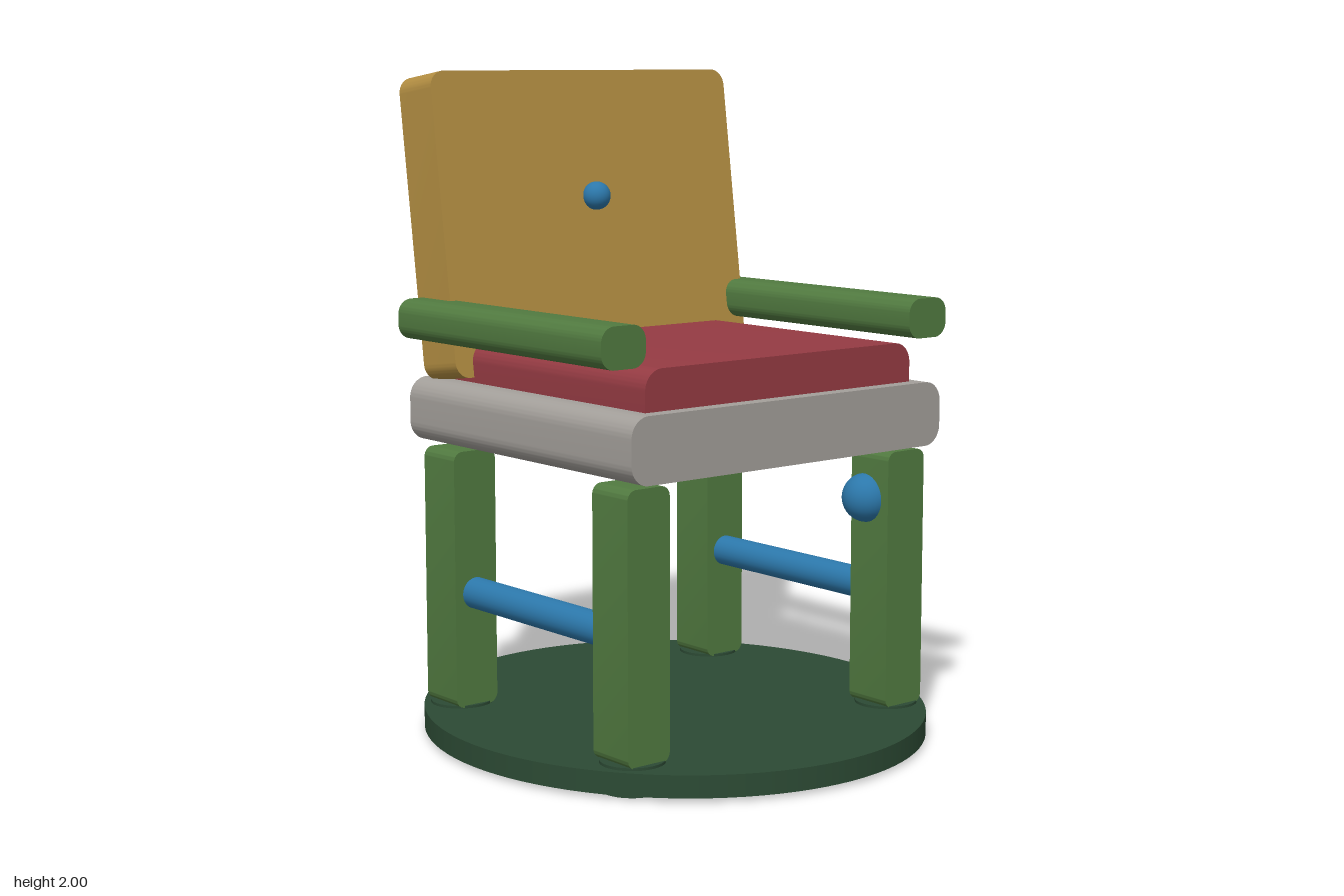
import * as THREE from 'three';
import { toCreasedNormals } from 'three/addons/utils/BufferGeometryUtils.js';

const mat = (name, color) => {
  const m = new THREE.MeshStandardMaterial({ color });
  m.name = name;
  return m;
};

// Rounded rectangle in x/y, extruded straight along z, centred on the origin
function slab(w, h, d, r) {
  const x = w / 2, y = h / 2, s = new THREE.Shape();
  s.absarc(x - r, y - r, r, 0, Math.PI / 2);
  s.absarc(-x + r, y - r, r, Math.PI / 2, Math.PI);
  s.absarc(-x + r, -y + r, r, Math.PI, Math.PI * 1.5);
  s.absarc(x - r, -y + r, r, Math.PI * 1.5, Math.PI * 2);
  s.closePath();
  const g = new THREE.ExtrudeGeometry(s, { depth: d, bevelEnabled: false, curveSegments: 8 });
  g.translate(0, 0, -d / 2);
  return toCreasedNormals(g, 0.5);
}

export function createModel() {
  const model = new THREE.Group();
  model.name = 'armchair';
  const wood = mat('ochre', 0xb38e42);
  const green = mat('leaf green', 0x517a40);
  const dark = mat('dark green', 0x2c4a34);
  const grey = mat('warm grey', 0xa39f9a);
  const red = mat('red', 0x953b43);
  const blue = mat('blue', 0x2c78ab);

  const add = (name, geo, material, x, y, z) => {
    const m = new THREE.Mesh(geo, material);
    m.name = name;
    m.position.set(x, y, z);
    model.add(m);
    return m;
  };

  // Oval base plate
  const plate = new THREE.CylinderGeometry(1, 1, 0.066, 96);
  plate.scale(0.75, 1, 0.796);
  add('basePlate', plate, dark, 0, 0.045, 0);

  // Legs with round foot pads, side rails and armrests
  const leg = slab(0.15, 0.79, 0.157, 0.03);
  const pad = new THREE.CylinderGeometry(0.095, 0.095, 0.086, 32);
  const rail = new THREE.CylinderGeometry(0.048, 0.048, 0.7, 24).rotateX(Math.PI / 2);
  const arm = slab(0.155, 0.12, 0.985, 0.045);
  for (const sx of [-1, 1]) {
    const side = sx > 0 ? 'left' : 'right';
    for (const sz of [-1, 1]) {
      const end = sz > 0 ? 'Front' : 'Back';
      add(side + end + 'Leg', leg, green, sx * 0.5, 0.475, sz * 0.416);
      add(side + end + 'FootPad', pad, dark, sx * 0.5, 0.043, sz * 0.42);
    }
    add(side + 'Rail', rail, blue, sx * 0.5, 0.432, 0);
    add(side + 'Armrest', arm, green, sx * 0.585, 1.265, 0);
  }

  // Seat and cushion
  add('seat', slab(1.19, 0.193, 1.076, 0.06), grey, 0, 0.982, 0);
  add('cushion', slab(1.02, 0.2, 0.93, 0.06), red, 0, 1.098, 0.027);

  // Backrest leaning to the rear, with its button
  const back = add('backrest', slab(1.146, 0.917, 0.169, 0.05), wood, 0, 1.537, -0.464);
  back.rotation.x = -0.135;
  add('backButton', new THREE.SphereGeometry(0.044, 32, 20), blue, 0, 1.616, -0.375);

  // Knob on the front left leg
  add('legKnob', new THREE.SphereGeometry(0.075, 32, 20), blue, 0.435, 0.72, 0.392);

  return model;
}
